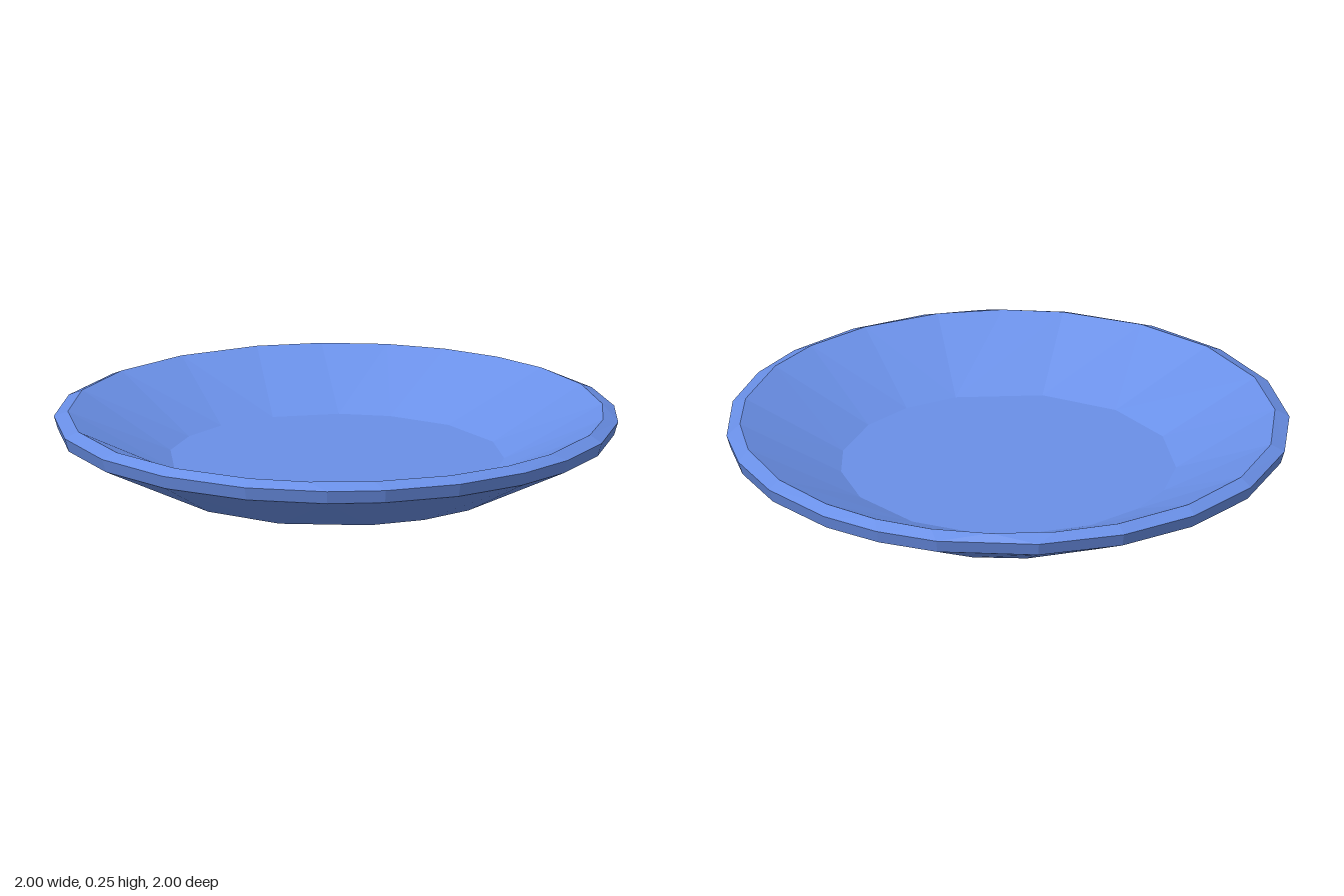
import * as THREE from 'three';

// Hand-cut, slightly uneven corner angles (degrees, clockwise from the back)
const RIM = [2, 15, 32, 47, 60, 77, 92, 105, 121, 137, 149, 166, 185, 203, 221, 239, 256, 275, 293, 310, 328, 349];
const LIP = [4, 17, 33, 50, 63, 76, 94, 107, 122, 139, 153, 166, 184, 202, 221, 238, 256, 274, 292, 310, 324, 338, 351];
const FLOOR = [9, 36, 58, 75, 98, 117, 136, 166, 194, 221, 247, 266, 284, 305, 328, 346];

const ring = (angles, radius, y) => ({
  angles,
  points: angles.map((d) => {
    const a = THREE.MathUtils.degToRad(d);
    return [radius * Math.sin(a), y, -radius * Math.cos(a)];
  }),
});

// Joins two rings that may have different numbers of corners
function stitch(a, b, out) {
  const nextAngle = (r, i) => {
    const n = r.angles.length;
    if (n === 1 || i >= n) return Infinity;
    return i + 1 < n ? r.angles[i + 1] : r.angles[0] + 360;
  };
  const at = (r, i) => r.points[i % r.points.length];
  let i = 0, j = 0;
  for (;;) {
    const na = nextAngle(a, i), nb = nextAngle(b, j);
    if (na === Infinity && nb === Infinity) return;
    if (na <= nb) {
      out.push(...at(a, i), ...at(b, j), ...at(a, i + 1));
      i++;
    } else {
      out.push(...at(a, i), ...at(b, j), ...at(b, j + 1));
      j++;
    }
  }
}

function band(name, rings, material) {
  const positions = [];
  for (let k = 0; k + 1 < rings.length; k++) stitch(rings[k], rings[k + 1], positions);
  const geometry = new THREE.BufferGeometry();
  geometry.setAttribute('position', new THREE.Float32BufferAttribute(positions, 3));
  geometry.computeVertexNormals();
  const mesh = new THREE.Mesh(geometry, material);
  mesh.name = name;
  return mesh;
}

export function createModel() {
  const group = new THREE.Group();
  group.name = 'plate';
  const blue = new THREE.MeshStandardMaterial({ color: 0x6a90e8, flatShading: true });

  // Rings in order: under the base, out to the rim, back in to the floor
  const baseCentre = ring([0], 0, 0);
  const base = ring(FLOOR, 0.62, 0);
  const underRim = ring(RIM, 0.985, 0.18);
  const rim = ring(RIM, 1, 0.228);
  const lip = ring(LIP, 0.95, 0.25);
  const floor = ring(FLOOR, 0.595, 0.085);
  const floorCentre = ring([0], 0, 0.085);

  group.add(
    band('underside', [baseCentre, base, underRim], blue),
    band('rim', [underRim, rim, lip], blue),
    band('dish', [lip, floor, floorCentre], blue),
  );
  return group;
}
